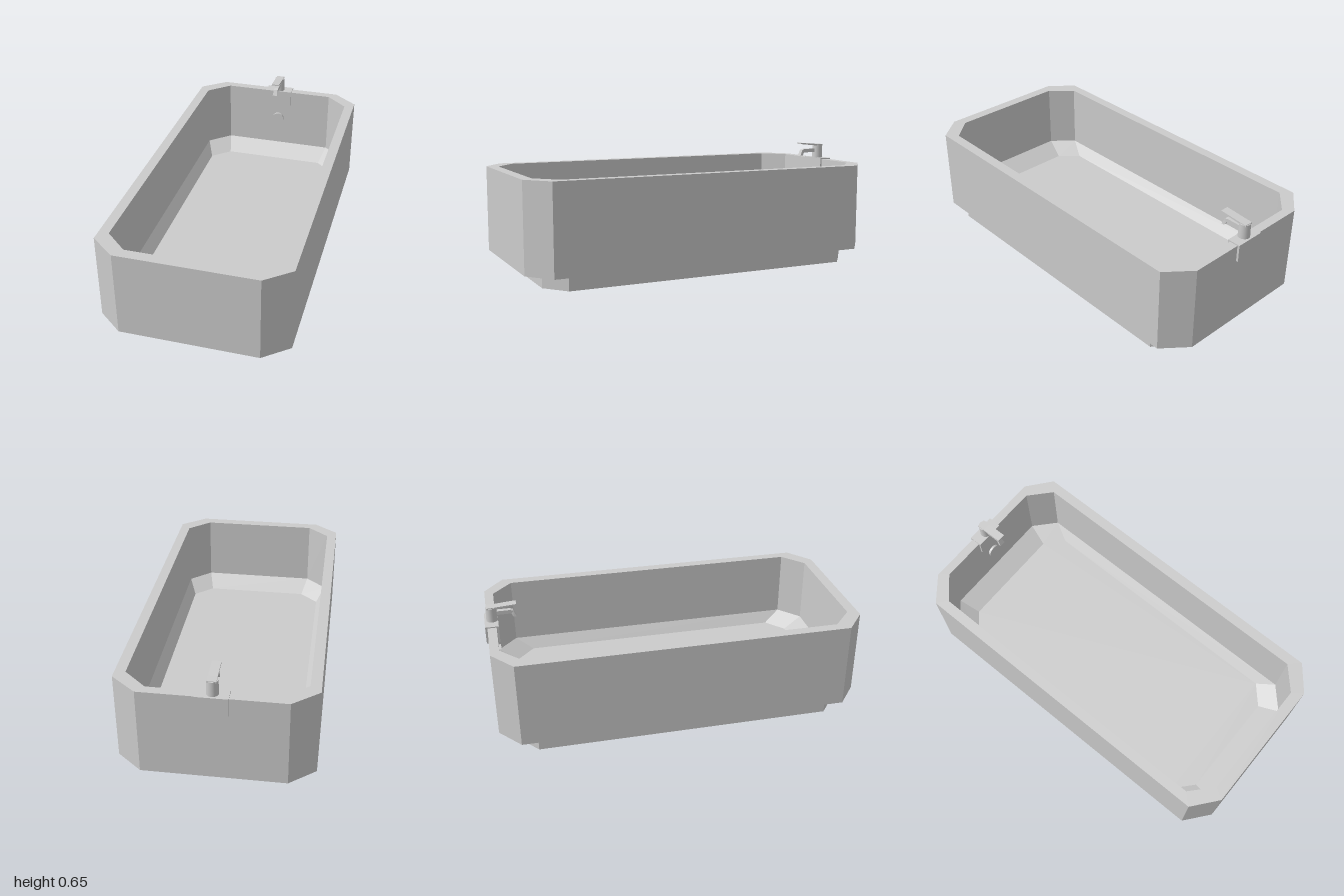
import * as THREE from 'three';

const mat = new THREE.MeshStandardMaterial({ color: 0xcccccc, flatShading: true });
const smooth = new THREE.MeshStandardMaterial({ color: 0xcccccc });

// Rectangle with cut corners, counter-clockwise from above
function ring(y, x, cx, z, cz, oz = 0) {
  return [[x, cz], [x, -cz], [cx, -z], [-cx, -z], [-x, -cz], [-x, cz], [-cx, z], [cx, z]]
    .map(([px, pz]) => new THREE.Vector3(px, y, pz + oz));
}

// Skin a stack of rings and close the first and last one
function loft(rings) {
  const pts = [];
  for (let r = 0; r < rings.length - 1; r++) {
    const a = rings[r], b = rings[r + 1], n = a.length;
    for (let i = 0; i < n; i++) {
      const j = (i + 1) % n;
      pts.push(a[i], a[j], b[j], a[i], b[j], b[i]);
    }
  }
  const first = rings[0], last = rings[rings.length - 1];
  for (let i = 1; i < first.length - 1; i++) {
    pts.push(first[0], first[i + 1], first[i], last[0], last[i], last[i + 1]);
  }
  const g = new THREE.BufferGeometry().setFromPoints(pts);
  g.computeVertexNormals();
  return g;
}

// Side profile given as [z, y] points, extruded across x
function sideExtrude(points, width) {
  const shape = new THREE.Shape(points.map(([z, y]) => new THREE.Vector2(-z, y)));
  const g = new THREE.ExtrudeGeometry(shape, { depth: width, bevelEnabled: false });
  g.translate(0, 0, -width / 2);
  g.rotateY(Math.PI / 2);
  return g;
}

export function createModel() {
  const model = new THREE.Group();
  const add = (parent, name, geometry, material = mat) => {
    const mesh = new THREE.Mesh(geometry, material);
    mesh.name = name;
    parent.add(mesh);
    return mesh;
  };

  // Recessed plinth
  add(model, 'plinth', loft([
    ring(0, 0.457, 0.335, 0.8975, 0.7975, 0.0065),
    ring(0.076, 0.457, 0.335, 0.8975, 0.7975, 0.0065),
  ]));

  // Tub: outer wall, flat rim, inner wall, sloped foot and floor
  add(model, 'tub', loft([
    ring(0.076, 0.5, 0.366, 0.994, 0.885, 0.006),
    ring(0.55, 0.5, 0.366, 0.994, 0.885, 0.006),
    ring(0.55, 0.445, 0.326, 0.941, 0.833, 0.001),
    ring(0.18, 0.445, 0.326, 0.941, 0.833, 0.001),
    ring(0.12, 0.4, 0.297, 0.83, 0.738, 0.001),
  ]));

  // Overflow cover on the inner back wall
  const overflow = add(model, 'overflowCover', new THREE.CylinderGeometry(0.036, 0.036, 0.014, 24), mat);
  overflow.rotation.x = Math.PI / 2;
  overflow.position.set(0, 0.36, -0.934);

  const tap = new THREE.Group();
  tap.name = 'tap';
  model.add(tap);

  // Saddle plate folded over the rim
  add(tap, 'saddlePlate', sideExtrude([
    [-1, 0.46], [-1, 0.556], [-0.928, 0.556], [-0.928, 0.46],
    [-0.938, 0.46], [-0.938, 0.55], [-0.988, 0.55], [-0.988, 0.46],
  ], 0.162));

  // Round pillar
  const pillar = add(tap, 'pillar', new THREE.CylinderGeometry(0.029, 0.031, 0.08, 24), smooth);
  pillar.position.set(0, 0.594, -0.959);

  // Spout, turned down and flared at the mouth
  const spout = sideExtrude([
    [-0.95, 0.588], [-0.95, 0.61], [-0.86, 0.61], [-0.843, 0.604],
    [-0.828, 0.57], [-0.844, 0.57], [-0.854, 0.586], [-0.864, 0.589],
  ], 0.024);
  const p = spout.attributes.position;
  for (let i = 0; i < p.count; i++) {
    if (p.getY(i) < 0.58) p.setX(i, p.getX(i) * 1.35);
  }
  spout.computeVertexNormals();
  add(tap, 'spout', spout);

  // Lever on top of the pillar
  add(tap, 'lever', sideExtrude([
    [-0.982, 0.628], [-0.982, 0.637], [-0.94, 0.639], [-0.825, 0.648],
    [-0.825, 0.641], [-0.93, 0.63],
  ], 0.046));

  return model;
}
